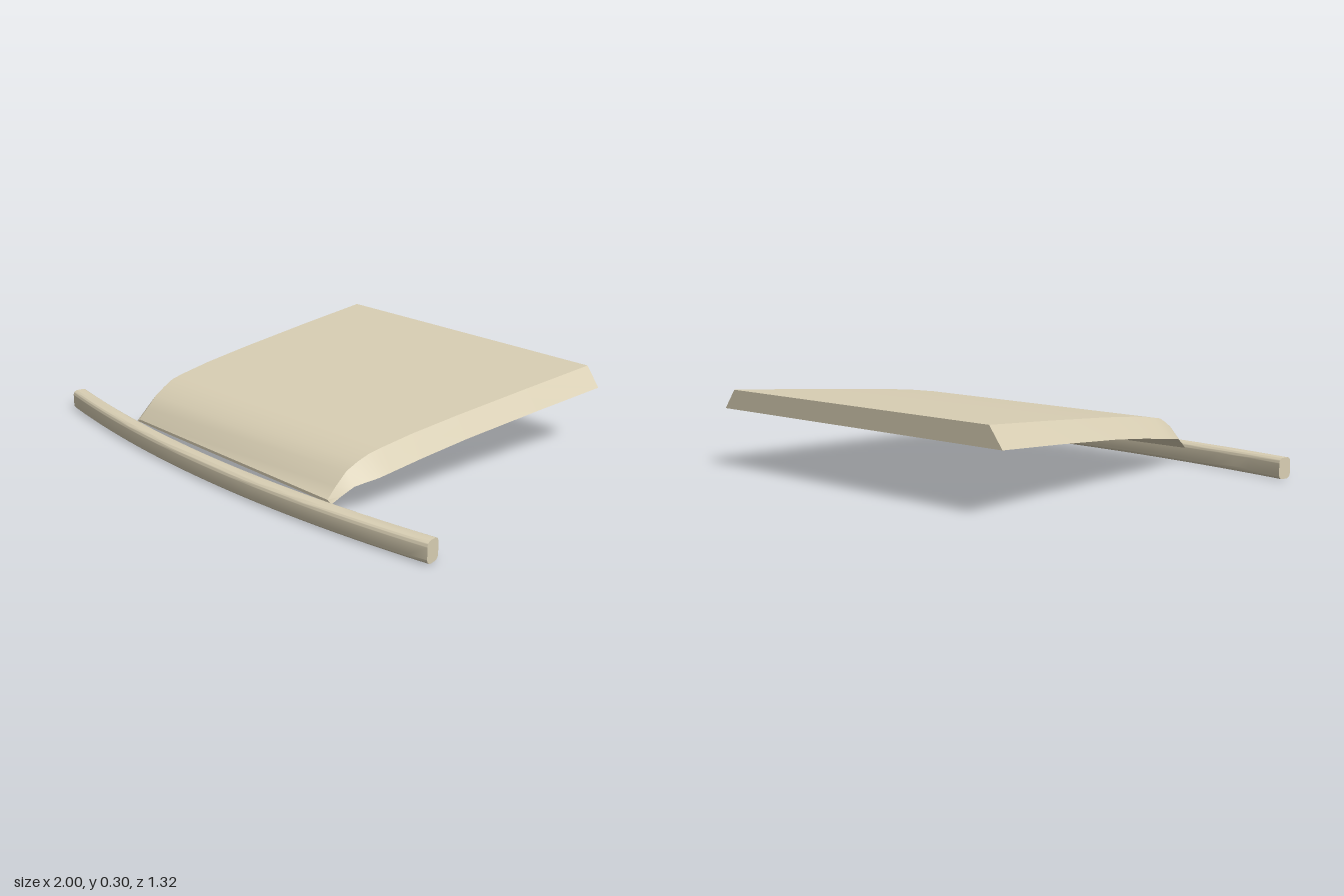
import * as THREE from 'three';
import { toCreasedNormals } from 'three/addons/utils/BufferGeometryUtils.js';

const material = new THREE.MeshStandardMaterial({ color: 0xd9cfb4 });

// Front bar: rounded section extruded along x, then bent into a shallow arc
function makeBumper() {
  const d = 0.06, h = 0.078, r = 0.019;
  const s = new THREE.Shape();
  s.moveTo(r, 0);
  s.lineTo(d - r, 0);
  s.absarc(d - r, r, r, -Math.PI / 2, 0);
  s.absarc(d - r, h - r, r, 0, Math.PI / 2);
  s.absarc(r, h - r, r, Math.PI / 2, Math.PI);
  s.absarc(r, r, r, Math.PI, Math.PI * 1.5);
  const geo = new THREE.ExtrudeGeometry(s, { depth: 2, steps: 28, bevelEnabled: false, curveSegments: 6 });
  const R = 5.6, sweep = Math.asin(1 / R);
  const p = geo.attributes.position;
  for (let i = 0; i < p.count; i++) {
    const a = (1 - p.getZ(i)) * sweep;
    const rad = R - d + p.getX(i);
    p.setXYZ(i, rad * Math.sin(a), p.getY(i), 0.655 - R + rad * Math.cos(a));
  }
  const mesh = new THREE.Mesh(toCreasedNormals(geo, 0.7), material);
  mesh.name = 'frontBumper';
  return mesh;
}

// Hood: trapezoid cross-sections [z, top y, top half width, bottom y, bottom half width]
function makeHood() {
  const sections = [
    [-0.663, 0.299, 0.632, 0.225, 0.687],
    [-0.34, 0.273, 0.61, 0.2, 0.662],
    [0, 0.243, 0.585, 0.17, 0.635],
    [0.2, 0.222, 0.57, 0.147, 0.62],
    [0.33, 0.203, 0.56, 0.128, 0.608],
    [0.385, 0.193, 0.555, 0.12, 0.603],
    [0.43, 0.174, 0.547, 0.113, 0.59],
    [0.475, 0.15, 0.541, 0.106, 0.579],
    [0.52, 0.107, 0.538, 0.082, 0.567],
    [0.555, 0.07, 0.537, 0.06, 0.557],
  ];
  const pos = [], idx = [];
  for (const [z, ty, tw, by, bw] of sections) {
    pos.push(-bw, by, z, bw, by, z, tw, ty, z, -tw, ty, z);
  }
  const n = sections.length;
  for (let i = 0; i < n - 1; i++) {
    for (let j = 0; j < 4; j++) {
      const a = i * 4 + j, b = i * 4 + (j + 1) % 4;
      idx.push(a, b, b + 4, a, b + 4, a + 4);
    }
  }
  // Rear and front end faces
  const e = (n - 1) * 4;
  idx.push(0, 2, 1, 0, 3, 2, e, e + 1, e + 2, e, e + 2, e + 3);
  const geo = new THREE.BufferGeometry();
  geo.setAttribute('position', new THREE.Float32BufferAttribute(pos, 3));
  geo.setIndex(idx);
  const mesh = new THREE.Mesh(toCreasedNormals(geo, 0.5), material);
  mesh.name = 'hood';
  return mesh;
}

export function createModel() {
  const group = new THREE.Group();
  group.name = 'hoodAndBumper';
  group.add(makeHood(), makeBumper());
  return group;
}
